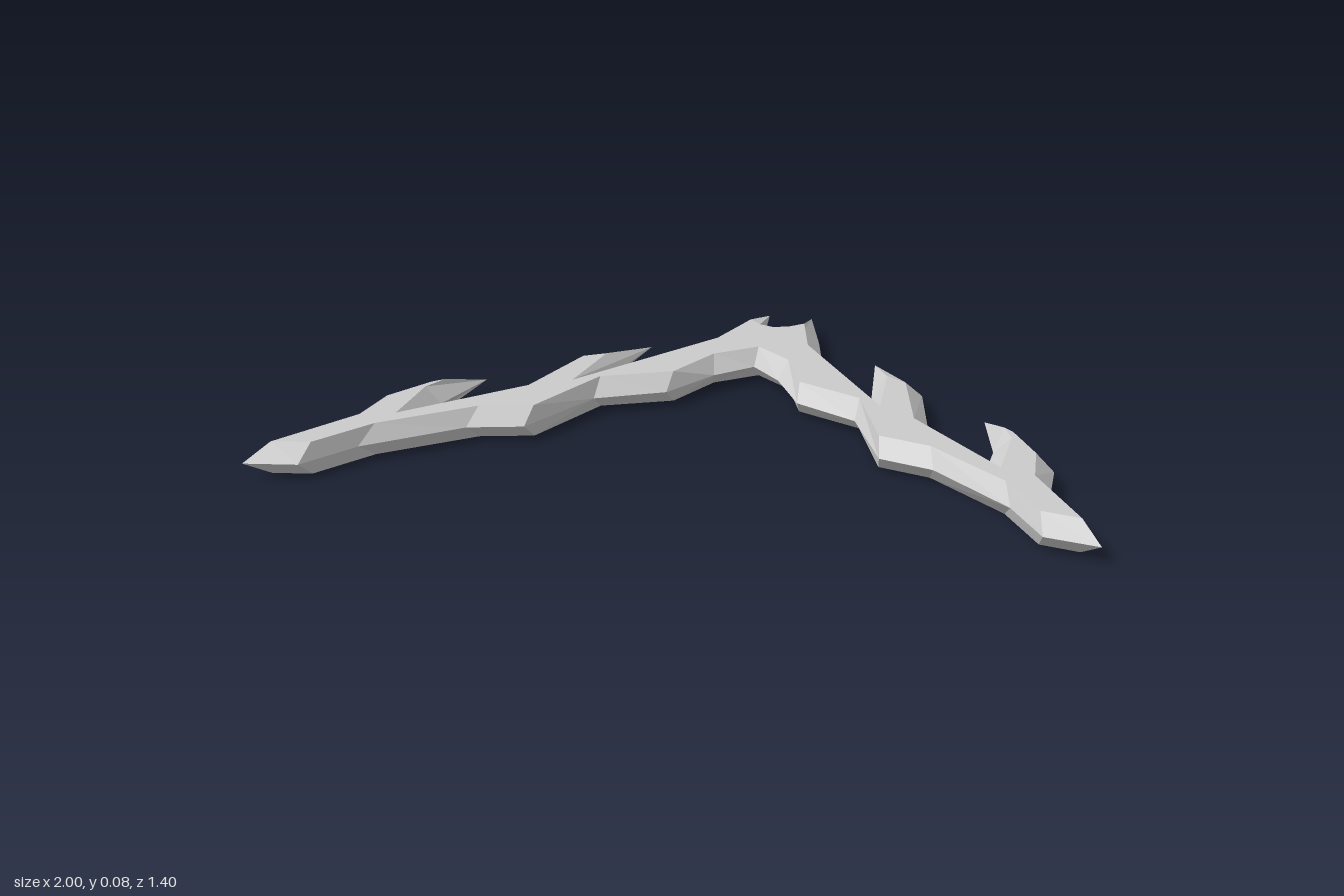
import * as THREE from 'three';

// Right half of the outline, rear centre to front centre: outer rim x, z and bevelled plate x, z
const HALF = [
  [0, -0.525, 0, -0.485],
  [0.045, -0.555, 0.04, -0.5],
  [0.06, -0.7, 0.075, -0.535], // rear spike
  [0.125, -0.495, 0.087, -0.49],
  [0.16, -0.365, 0.123, -0.36],
  [0.345, -0.095, 0.395, 0.055], // notch
  [0.305, -0.355, 0.372, -0.165], // middle spike
  [0.465, -0.15, 0.425, -0.13],
  [0.525, 0.105, 0.49, 0.12],
  [0.695, 0.3, 0.738, 0.39], // notch
  [0.695, 0.2, 0.737, 0.195],
  [0.645, 0, 0.71, 0.13], // outer spike
  [0.735, 0.095, 0.735, 0.155],
  [0.85, 0.29, 0.805, 0.28],
  [0.86, 0.47, 0.82, 0.42],
  [1, 0.7, 0.95, 0.645], // wing tip
  [0.87, 0.675, 0.857, 0.625],
  [0.78, 0.53, 0.76, 0.47],
  [0.575, 0.345, 0.56, 0.295],
  [0.44, 0.305, 0.43, 0.257],
  [0.335, 0.07, 0.335, 0.012],
  [0.17, -0.02, 0.165, -0.07],
  [0.085, -0.175, 0.1, -0.23],
  [0, -0.265, 0, -0.315],
];
const HEIGHT = 0.08;

function bladeGeometry() {
  const mirrored = HALF.slice(1, -1).reverse().map(([a, b, c, d]) => [-a, b, -c, d]);
  const loop = [...HALF, ...mirrored];
  const positions = [];
  const tri = (a, b, c) => positions.push(...a, ...b, ...c);
  const rim = loop.map(([x, z]) => [x, HEIGHT / 2, z]);
  const plate = (y) => loop.map(([, , x, z]) => [x, y, z]);
  const top = plate(HEIGHT);
  const bottom = plate(0);

  // Bevels from the rim up to the top plate and down to the bottom plate
  loop.forEach((_, i) => {
    const j = (i + 1) % loop.length;
    tri(rim[i], top[i], top[j]);
    tri(rim[i], top[j], rim[j]);
    tri(rim[i], bottom[j], bottom[i]);
    tri(rim[i], rim[j], bottom[j]);
  });

  // Flat plates
  const contour = loop.map(([, , x, z]) => new THREE.Vector2(x, z));
  for (const [a, b, c] of THREE.ShapeUtils.triangulateShape(contour, [])) {
    const ccw = THREE.ShapeUtils.area([contour[a], contour[b], contour[c]]) > 0;
    const [p, q] = ccw ? [b, c] : [c, b];
    tri(top[a], top[q], top[p]);
    tri(bottom[a], bottom[p], bottom[q]);
  }

  const geometry = new THREE.BufferGeometry();
  geometry.setAttribute('position', new THREE.Float32BufferAttribute(positions, 3));
  geometry.computeVertexNormals();
  return geometry;
}

export function createModel() {
  const group = new THREE.Group();
  group.name = 'spikedBoomerang';
  const material = new THREE.MeshStandardMaterial({ color: 0xcccccc, flatShading: true });
  const blade = new THREE.Mesh(bladeGeometry(), material);
  blade.name = 'blade';
  group.add(blade);
  return group;
}
